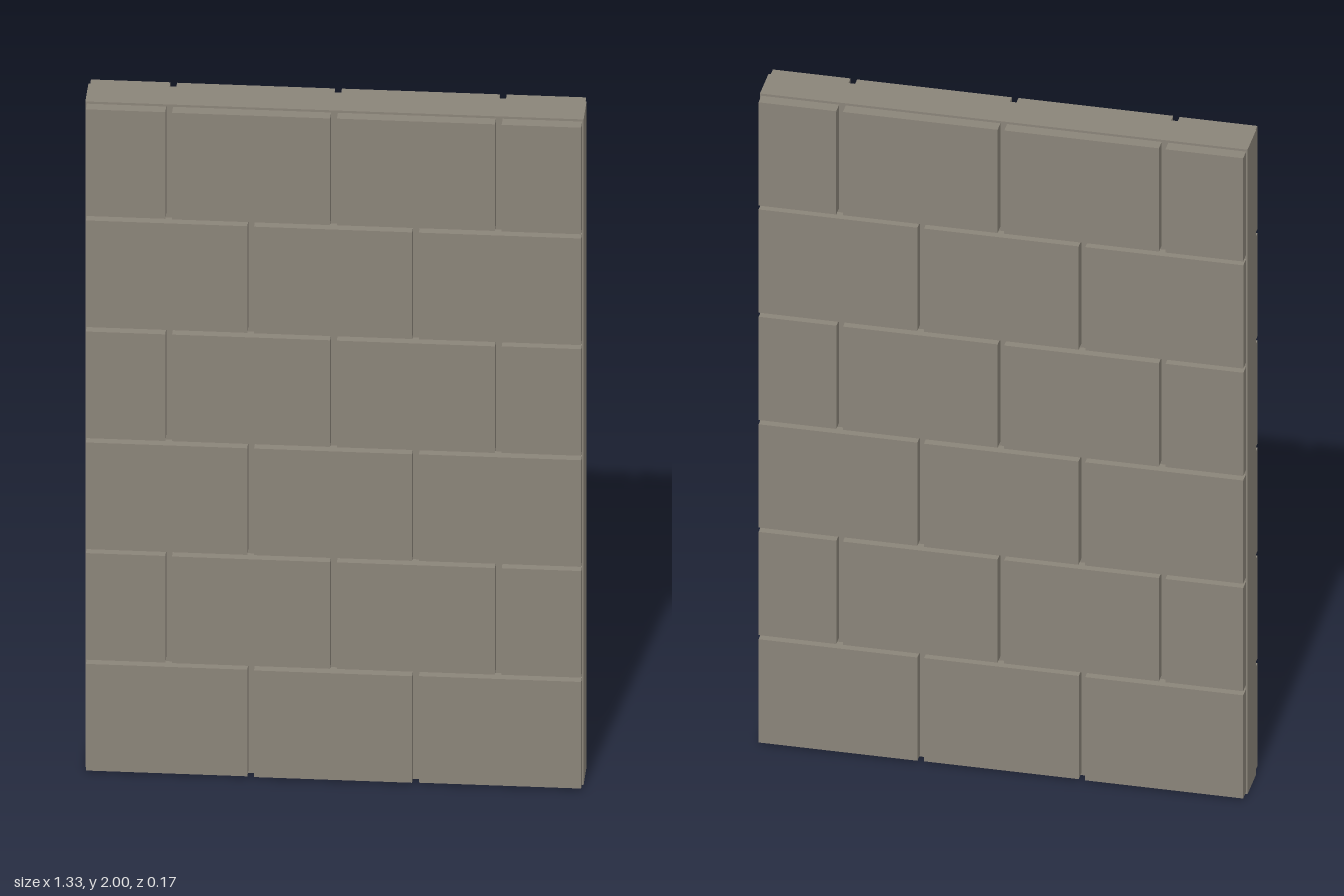
import * as THREE from 'three';

const ROWS = 6, ROW_H = 2 / ROWS;
const HALF_W = 0.665, CORE_Z = 0.052, FACE_Z = 0.086;
const GAP_X = 0.018, GAP_Y = 0.013, EDGE = 0.004;

export function createModel() {
  const wall = new THREE.Group();
  wall.name = 'blockWall';
  const stone = new THREE.MeshStandardMaterial({ color: 0x8a8479, roughness: 0.9, flatShading: true });

  // box given by its two opposite corners
  const box = (name, x0, x1, y0, y1, z0, z1, parent) => {
    const mesh = new THREE.Mesh(new THREE.BoxGeometry(x1 - x0, y1 - y0, z1 - z0), stone);
    mesh.position.set((x0 + x1) / 2, (y0 + y1) / 2, (z0 + z1) / 2);
    mesh.name = name;
    parent.add(mesh);
  };

  // small repeatable variation of block depth
  let seed = 7;
  const vary = () => {
    seed = (seed * 16807) % 2147483647;
    return (seed / 2147483647 - 0.5) * 0.003;
  };

  // mortar core, visible in the joints and around the rim
  box('mortarCore', -HALF_W, HALF_W, 0, 2, -CORE_Z, CORE_Z, wall);

  // running-bond blocks on both faces
  for (const side of [1, -1]) {
    const face = new THREE.Group();
    face.name = side > 0 ? 'frontBlocks' : 'backBlocks';
    wall.add(face);
    for (let row = 0; row < ROWS; row++) {
      const joints = row % 2 ? [-0.44, 0, 0.44] : [-0.221, 0.219];
      if (row % 2 === 1) joints.length = 3;
      const pattern = row === 1 || row === 3 || row === 5 ? joints : [-0.221, 0.219];
      const stops = [-HALF_W, ...pattern, HALF_W];
      const y0 = row * ROW_H + GAP_Y / 2, y1 = (row + 1) * ROW_H - GAP_Y / 2;
      for (let i = 0; i < stops.length - 1; i++) {
        const x0 = stops[i] + (i === 0 ? EDGE : GAP_X / 2);
        const x1 = stops[i + 1] - (i === stops.length - 2 ? EDGE : GAP_X / 2);
        const depth = FACE_Z + vary();
        const z = [side * (CORE_Z - 0.01), side * depth].sort((a, b) => a - b);
        box('block', x0, x1, y0, y1, z[0], z[1], face);
      }
    }
  }
  return wall;
}
